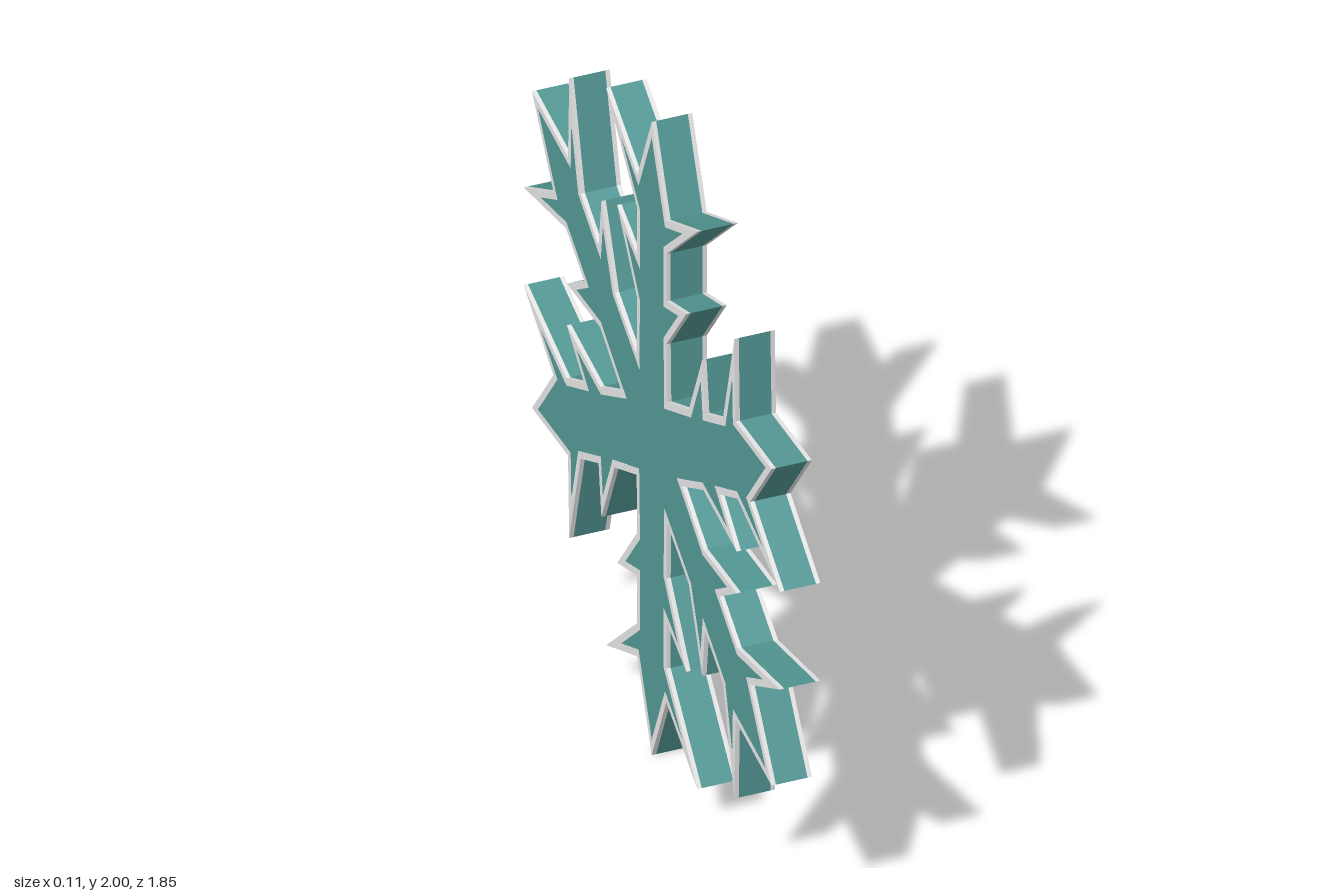
import * as THREE from 'three';

const HALF = 0.055;   // half thickness
const RIM = 0.02;     // pale border on the flat faces
const SIDE_RIM = 0.012; // pale border on the side walls

// Right half of one upright arm, from the notch out to the tip
const HALF_ARM = [
  [0.11, 0.19], [0.105, 0.37], [0.25, 0.565], [0.105, 0.505],
  [0.105, 0.655], [0.33, 0.88], [0.105, 0.76], [0, 1],
];

// Six mirrored arms, counter-clockwise
function makeOutline() {
  const mirrored = HALF_ARM.slice(1, -1).reverse().map(([x, y]) => [-x, y]);
  const arm = [...HALF_ARM, ...mirrored];
  const points = [];
  for (let k = 0; k < 6; k++) {
    for (const [x, y] of arm) {
      points.push(new THREE.Vector2(x, y).rotateAround(new THREE.Vector2(), k * Math.PI / 3));
    }
  }
  return points;
}

// Mitred inset of a closed counter-clockwise loop
function inset(points, d) {
  const n = points.length;
  const inward = (a, b) => new THREE.Vector2(a.y - b.y, b.x - a.x).normalize();
  return points.map((p, i) => {
    const n1 = inward(points[(i + n - 1) % n], p);
    const n2 = inward(p, points[(i + 1) % n]);
    const scale = d / (1 + n1.dot(n2));
    return p.clone().add(n1.add(n2).multiplyScalar(scale));
  });
}

// Flat-shaded band joining two loops
function band(loopA, zA, loopB, zB) {
  const pos = [];
  const n = loopA.length;
  for (let i = 0; i < n; i++) {
    const j = (i + 1) % n;
    const a = [loopA[i].x, loopA[i].y, zA], b = [loopA[j].x, loopA[j].y, zA];
    const c = [loopB[j].x, loopB[j].y, zB], d = [loopB[i].x, loopB[i].y, zB];
    pos.push(...a, ...b, ...c, ...a, ...c, ...d);
  }
  const geometry = new THREE.BufferGeometry();
  geometry.setAttribute('position', new THREE.Float32BufferAttribute(pos, 3));
  geometry.computeVertexNormals();
  return geometry;
}

export function createModel() {
  const teal = new THREE.MeshStandardMaterial({ color: 0x549996 });
  teal.name = 'teal';
  const pale = new THREE.MeshStandardMaterial({ color: 0xe8e8e8 });
  pale.name = 'paleFrost';

  const group = new THREE.Group();
  group.name = 'snowflake';
  const add = (name, geometry, material) => {
    geometry.rotateY(Math.PI / 2).translate(0, 1, 0); // thickness along x
    const mesh = new THREE.Mesh(geometry, material);
    mesh.name = name;
    group.add(mesh);
  };

  const outer = makeOutline();
  const inner = inset(outer, RIM);
  const wall = HALF - SIDE_RIM;

  // Side walls: teal middle between two pale edge strips
  add('sideWall', band(outer, -wall, outer, wall), teal);
  add('leftEdgeStrip', band(outer, wall, outer, HALF), pale);
  add('rightEdgeStrip', band(outer, -HALF, outer, -wall), pale);

  // Flat faces with pale borders
  add('leftFaceBorder', band(outer, HALF, inner, HALF), pale);
  add('rightFaceBorder', band(inner, -HALF, outer, -HALF), pale);
  const shape = new THREE.Shape(inner);
  add('leftFace', new THREE.ShapeGeometry(shape).translate(0, 0, HALF), teal);
  add('rightFace', new THREE.ShapeGeometry(shape).rotateY(Math.PI).translate(0, 0, -HALF), teal);

  return group;
}
